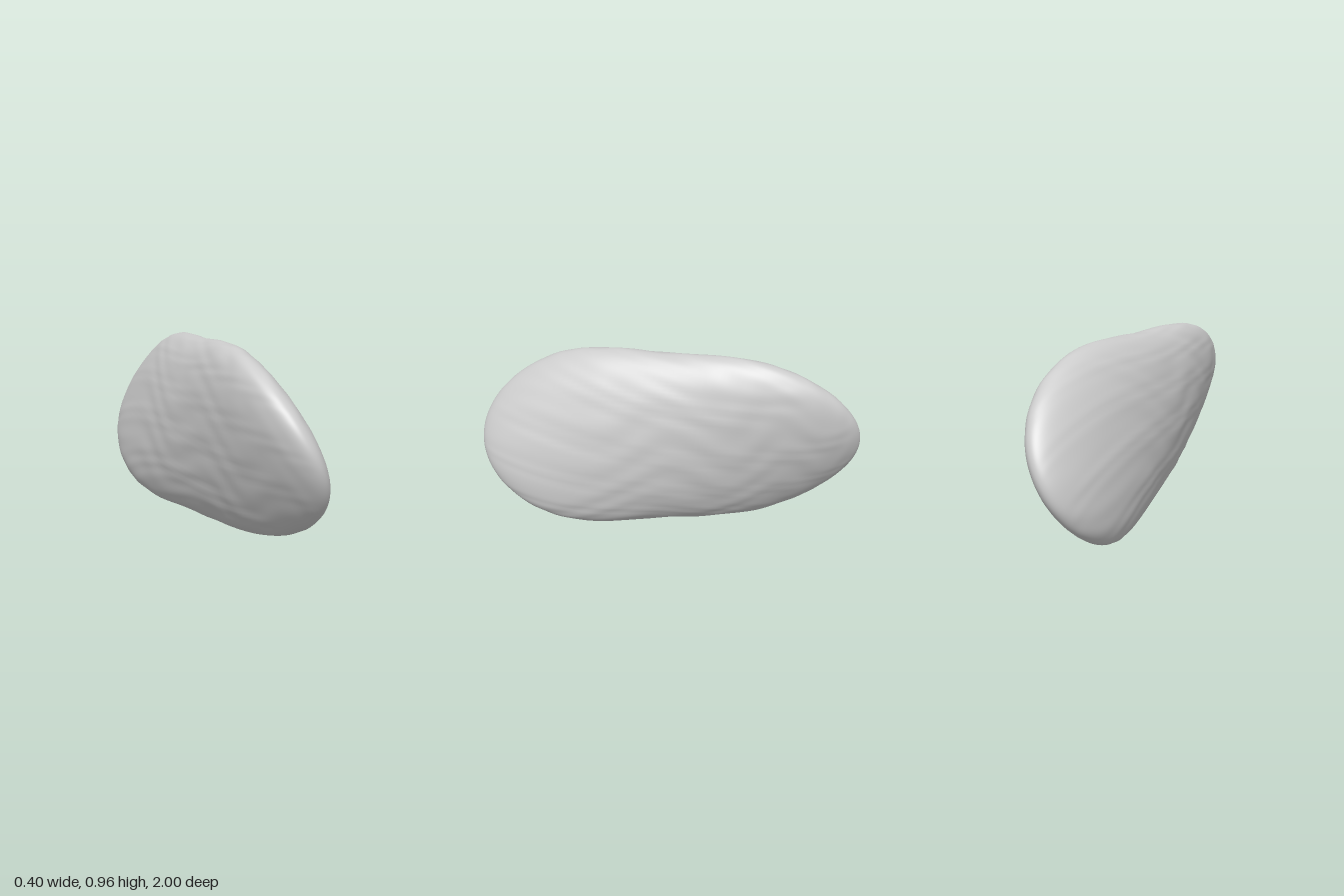
import * as THREE from 'three';
import { mergeVertices } from 'three/addons/utils/BufferGeometryUtils.js';

const TWIST = THREE.MathUtils.degToRad(25); // twist per unit of length

// Faint hammered unevenness, drawn out along the length
function ripple(x, y, z) {
  return 0.0016 * Math.sin(17 * y + 6 * z + 3 * Math.sin(9 * z + 5 * x))
    + 0.0013 * Math.sin(29 * y - 13 * z + 2 * Math.sin(14 * y + 7 * x));
}

export function createModel() {
  const group = new THREE.Group();
  group.name = 'twistedPebble';

  // Sphere with its poles on the z axis, welded so normals are smooth at the seam
  let geometry = new THREE.SphereGeometry(1, 128, 96).rotateX(Math.PI / 2);
  geometry.deleteAttribute('uv');
  geometry.deleteAttribute('normal');
  geometry = mergeVertices(geometry, 1e-5);

  // Flatten into elliptical sections, then turn each section about the z axis
  const p = geometry.attributes.position;
  for (let i = 0; i < p.count; i++) {
    const x = p.getX(i), y = p.getY(i), z = p.getZ(i);
    const halfWidth = 0.197;
    const halfHeight = 0.475 + 0.1 * (1 - Math.exp(-z * z / 0.25));
    const bump = ripple(x, y, z);
    const px = x * (halfWidth + bump);
    const py = y * (halfHeight + bump);
    const a = TWIST * z;
    p.setXYZ(i,
      px * Math.cos(a) - py * Math.sin(a),
      px * Math.sin(a) + py * Math.cos(a),
      z);
  }
  geometry.computeVertexNormals();
  geometry.computeBoundingBox();
  geometry.translate(0, -geometry.boundingBox.min.y, 0);

  const stone = new THREE.Mesh(geometry, new THREE.MeshStandardMaterial({ color: 0xcccccc }));
  stone.name = 'stone';
  group.add(stone);
  return group;
}
